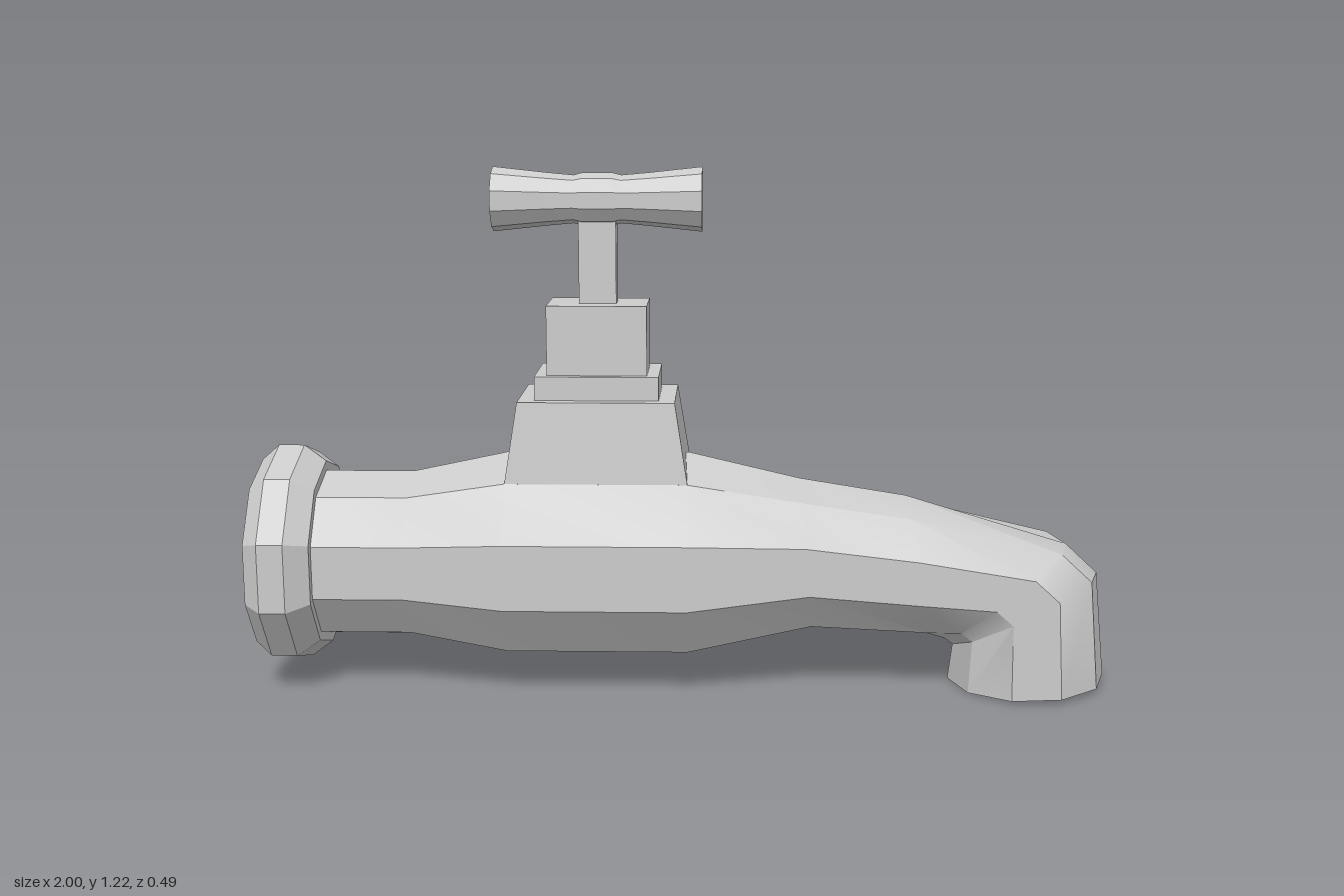
import * as THREE from 'three';
import { toCreasedNormals } from 'three/addons/utils/BufferGeometryUtils.js';

const SIDES = 10;
const material = new THREE.MeshStandardMaterial({ color: 0xcccccc });

// Ten-sided loft. Each ring: [topX, topY, bottomX, bottomY, half width, side lift].
// A ring of zero width closes the end.
function loft(rings, crease) {
  const pos = [], idx = [];
  rings.forEach(([tx, ty, bx, by, w, lift = 0]) => {
    for (let j = 0; j < SIDES; j++) {
      const a = Math.PI / 2 + (j / SIDES) * Math.PI * 2;
      const s = Math.sin(a), c = Math.cos(a);
      pos.push(
        (tx + bx) / 2 + s * (tx - bx) / 2,
        (ty + by) / 2 + s * (ty - by) / 2 + lift * Math.abs(c),
        w * c
      );
    }
  });
  for (let i = 0; i < rings.length - 1; i++) {
    for (let j = 0; j < SIDES; j++) {
      const k = (j + 1) % SIDES;
      const a = i * SIDES + j, b = a + SIDES, c = i * SIDES + k, d = c + SIDES;
      if (rings[i][4] > 0) idx.push(a, b, c);
      if (rings[i + 1][4] > 0) idx.push(b, d, c);
    }
  }
  const geo = new THREE.BufferGeometry();
  geo.setAttribute('position', new THREE.Float32BufferAttribute(pos, 3));
  geo.setIndex(idx);
  return toCreasedNormals(geo, crease);
}

// Upright round ring at x
const round = (x, y, r) => [x, y + r, x, y - r, r];

// Box between two heights, optionally wider at its foot
function block(x, y0, y1, w, d, footW = w, footD = d) {
  const geo = new THREE.BoxGeometry(1, y1 - y0, 1);
  const p = geo.attributes.position;
  for (let i = 0; i < p.count; i++) {
    const top = p.getY(i) > 0;
    p.setXYZ(i, x + p.getX(i) * (top ? w : footW), p.getY(i) + (y0 + y1) / 2,
      p.getZ(i) * (top ? d : footD));
  }
  return toCreasedNormals(geo, 0.3);
}

export function createModel() {
  const group = new THREE.Group();
  const add = (name, geo) => {
    const mesh = new THREE.Mesh(geo, material);
    mesh.name = name;
    group.add(mesh);
  };

  // Wall flange
  add('wallFlange', loft([
    round(-1, 0.303, 0), round(-1, 0.303, 0.225), round(-0.96, 0.303, 0.26),
    round(-0.9, 0.303, 0.26), round(-0.85, 0.303, 0.222), round(-0.85, 0.303, 0)
  ], 0.3));

  // Pipe swelling under the valve, bending down to a hollow outlet
  add('spoutBody', loft([
    round(-0.9, 0.302, 0.2),
    round(-0.64, 0.302, 0.2),
    round(-0.41, 0.305, 0.246),
    round(0.01, 0.305, 0.246),
    [0.27, 0.49, 0.3, 0.125, 0.187],
    [0.52, 0.45, 0.57, 0.115, 0.187],
    [0.9, 0.335, 0.62, 0.1, 0.187, 0.04],
    [0.975, 0.265, 0.64, 0.085, 0.187, 0.04],
    [1, 0.015, 0.63, 0, 0.187],
    [0.97, 0.014, 0.66, 0.001, 0.157],
    [0.965, 0.09, 0.665, 0.085, 0.155],
    [0.815, 0.09, 0.815, 0.09, 0]
  ], 0.5));

  // Stepped valve bonnet and stem
  add('bonnetBase', block(-0.2, 0.5, 0.69, 0.36, 0.25, 0.42, 0.29));
  add('bonnetCollar', block(-0.2, 0.69, 0.745, 0.285, 0.196));
  add('bonnetTop', block(-0.2, 0.745, 0.905, 0.23, 0.16));
  add('stem', block(-0.2, 0.905, 1.13, 0.086, 0.062));

  // Flared cross handle with a slight swelling in the middle
  const half = [[0.24, 0], [0.24, 0.074], [0.12, 0.061], [0.055, 0.055], [0.035, 0.06]];
  add('handle', loft([
    ...half.map(([x, r]) => round(-0.2 - x, 1.142, r)),
    ...half.slice().reverse().map(([x, r]) => round(-0.2 + x, 1.142, r))
  ], 0.5));

  return group;
}
